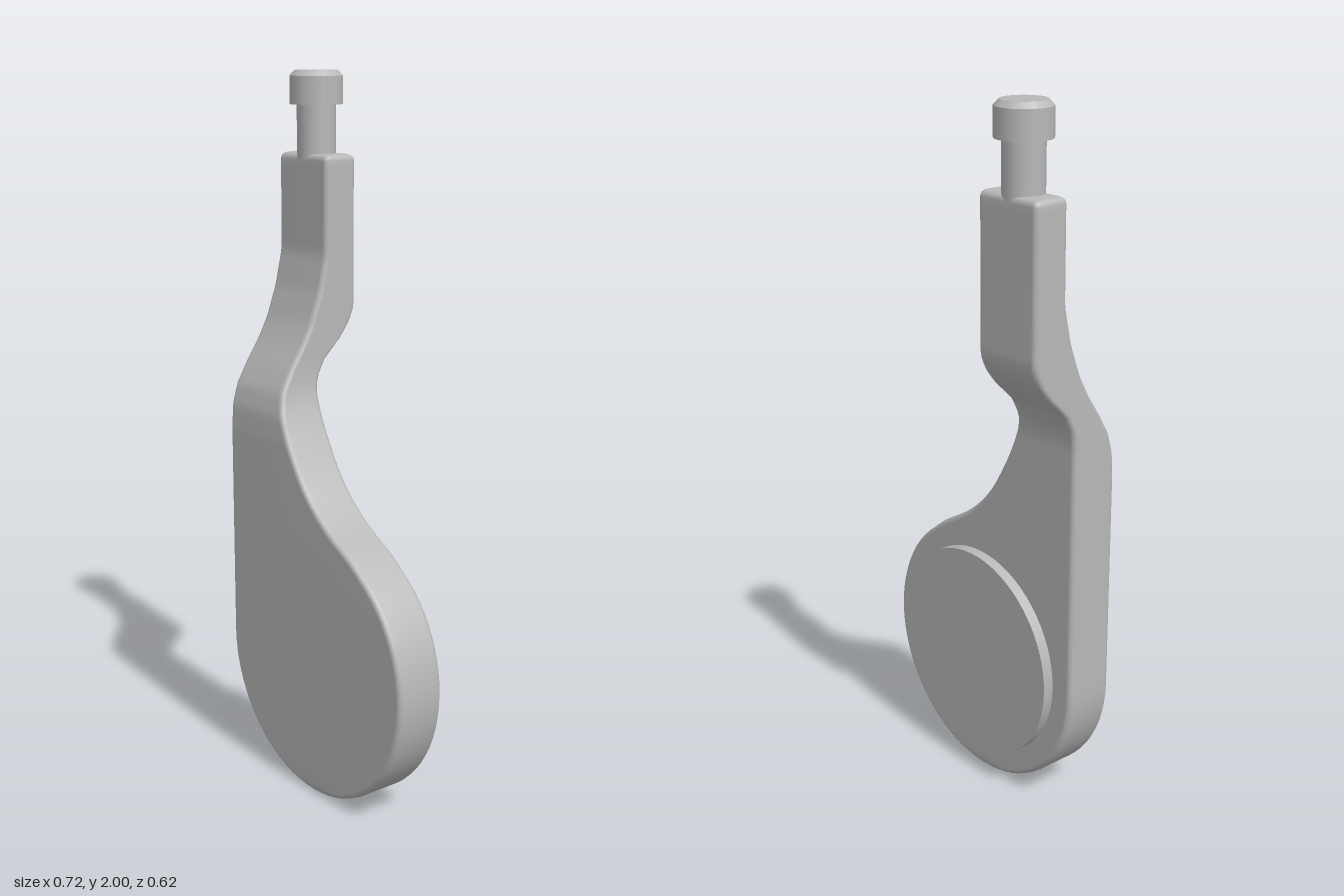
import * as THREE from 'three';
import { mergeVertices } from 'three/addons/utils/BufferGeometryUtils.js';

const V2 = (x, y) => new THREE.Vector2(x, y);
const TOP = 1.775, LEFT = -0.35, BEVEL = 0.016;
const CX = 0.03, CY = 0.385, R = 0.38;

// Depth of the front and back faces at each height: [y, z]
const FRONT = [[0, 0.126], [1.0, 0.126], [1.07, 0.122], [1.13, 0.105], [1.19, 0.07], [1.25, 0.03],
  [1.31, -0.002], [1.4, -0.034], [1.5, -0.056], [1.8, -0.058]];
const BACK = [[0, -0.022], [1.12, -0.022], [1.16, -0.029], [1.21, -0.057], [1.27, -0.118],
  [1.31, -0.147], [1.35, -0.163], [1.8, -0.163]];

function depthAt(table, y) {
  for (let i = 1; i < table.length; i++) {
    const [y0, z0] = table[i - 1], [y1, z1] = table[i];
    if (y <= y1) return z0 + (z1 - z0) * Math.max(0, (y - y0) / (y1 - y0));
  }
  return table[table.length - 1][1];
}

// Right and left outline, paired row by row at equal heights
function outline() {
  const right = [], left = [];
  for (let i = 0; i <= 29; i++) {
    const t = THREE.MathUtils.degToRad(i * 5);
    const y = CY - CY * Math.cos(t);
    right.push(V2(CX + R * Math.sin(t), y));
    left.push(V2(i < 18 ? CX - R * Math.sin(t) : LEFT, y));
  }
  const last = right[right.length - 1];
  const neck = new THREE.SplineCurve([last.clone(), V2(0.2, 0.737), V2(0.09, 0.805), V2(0, 0.89),
    V2(-0.07, 1.0), V2(-0.115, 1.1), V2(-0.13, 1.18), V2(-0.132, 1.27), V2(-0.132, 1.4),
    V2(-0.132, 1.55), V2(-0.132, TOP - BEVEL)]);
  for (const p of neck.getSpacedPoints(64).slice(1)) {
    right.push(p);
    left.push(V2(LEFT, p.y));
  }
  return { right, left };
}

// Outward normal of an outline side (+1 right, -1 left)
function normalAt(points, i, side) {
  if (i === 0) return V2(0, -1);
  const t = points[Math.min(i + 1, points.length - 1)].clone().sub(points[i - 1]).normalize();
  return V2(t.y * side, -t.x * side);
}

function bodyGeometry() {
  const { right, left } = outline();
  const steps = [0, 1, 2, 3].map(k => k * Math.PI / 6);
  const corners = [[-1, 1, steps], [1, 1, [...steps].reverse()], [1, -1, steps], [-1, -1, [...steps].reverse()]];
  const pos = [], index = [];
  let rows = 0;
  const addRow = (i, lift, shrink) => {
    for (const [side, face, angles] of corners) {
      const pts = side > 0 ? right : left;
      const n = normalAt(pts, i, side);
      for (const a of angles) {
        const inset = BEVEL * (1 - Math.cos(a)) + shrink;
        const y = pts[i].y - n.y * inset + lift;
        const z = depthAt(face > 0 ? FRONT : BACK, y) - face * (BEVEL * (1 - Math.sin(a)) + shrink);
        pos.push(pts[i].x - n.x * inset, y, z);
      }
    }
    rows++;
  };
  right.forEach((p, i) => addRow(i, 0, 0));
  // Rounded top edge
  for (const a of steps.slice(1)) addRow(right.length - 1, BEVEL * Math.sin(a), BEVEL * (1 - Math.cos(a)));
  for (let i = 0; i < rows - 1; i++) {
    for (let j = 0; j < 16; j++) {
      const k = (j + 1) % 16, a = i * 16, b = a + 16;
      index.push(a + j, a + k, b + k, a + j, b + k, b + j);
    }
  }
  // Top cap
  const base = (rows - 1) * 16;
  pos.push((LEFT - 0.132) / 2, TOP, -0.11);
  for (let j = 0; j < 16; j++) index.push(rows * 16, base + j, base + (j + 1) % 16);
  let g = new THREE.BufferGeometry();
  g.setAttribute('position', new THREE.Float32BufferAttribute(pos, 3));
  g.setIndex(index);
  g = mergeVertices(g, 1e-5);
  g.computeVertexNormals();
  return g;
}

export function createModel() {
  const grey = new THREE.MeshStandardMaterial({ color: 0xb8b8b8 });
  grey.name = 'plain grey';
  const model = new THREE.Group();
  model.name = 'lever';
  const parts = new THREE.Group();
  parts.name = 'leverParts';
  parts.rotation.y = -Math.PI / 6;
  model.add(parts);

  const add = (name, geometry, x = 0, y = 0, z = 0) => {
    const mesh = new THREE.Mesh(geometry, grey);
    mesh.name = name;
    mesh.position.set(x, y, z);
    parts.add(mesh);
    return mesh;
  };

  add('leverBody', bodyGeometry());

  // Round pad on the back
  add('backDisc', new THREE.CylinderGeometry(0.31, 0.31, 0.043, 64), CX, 0.39, -0.0325).rotation.x = Math.PI / 2;

  // Pin with a chamfered head
  const pin = (name, rTop, rBottom, y0, y1) =>
    add(name, new THREE.CylinderGeometry(rTop, rBottom, y1 - y0, 16), -0.242, (y0 + y1) / 2, -0.109);
  pin('pinShaft', 0.055, 0.055, 1.76, 1.92);
  pin('pinHead', 0.075, 0.075, 1.908, 1.985);
  pin('pinHeadChamfer', 0.061, 0.075, 1.985, 2.0);

  return model;
}
